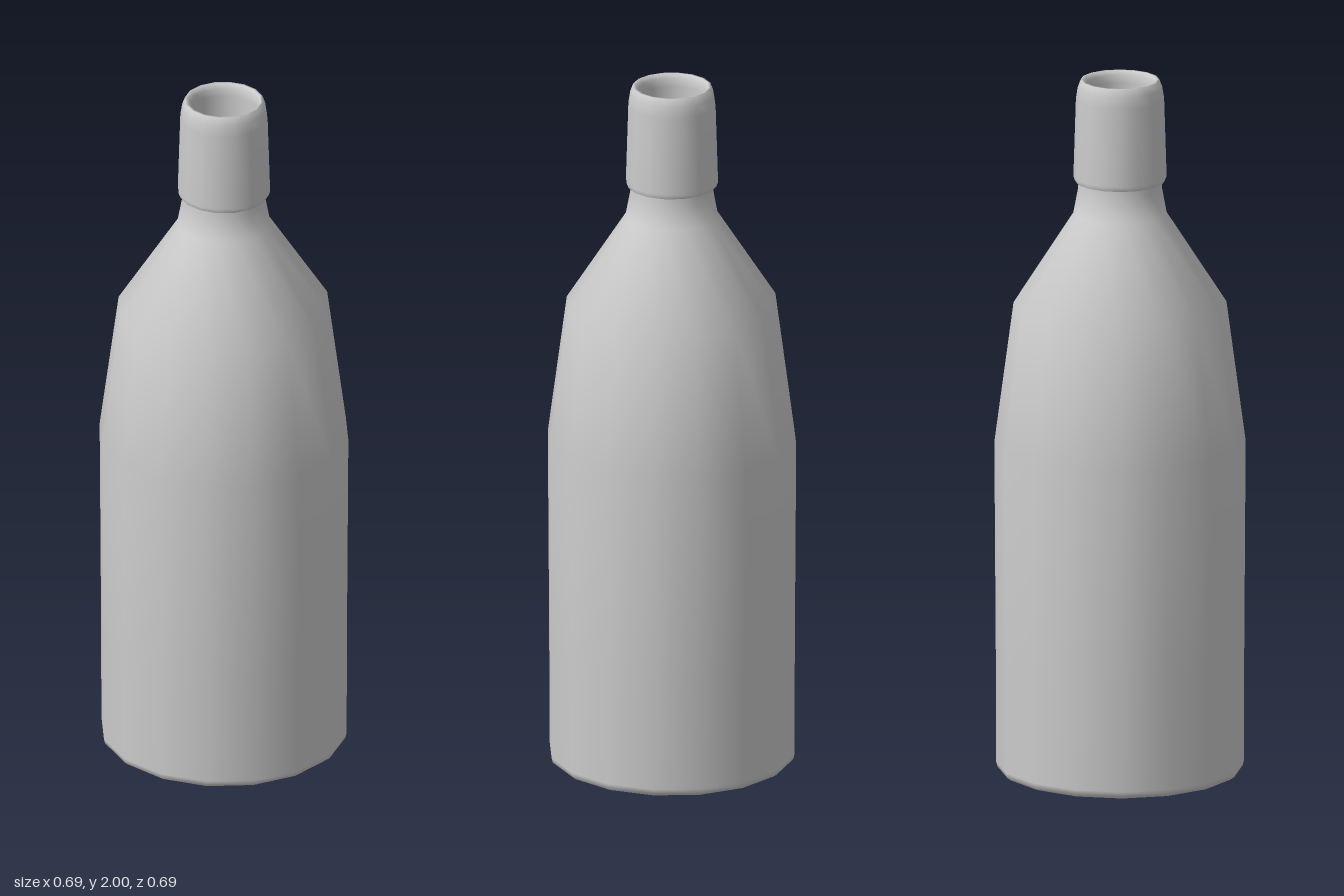
import * as THREE from 'three';

const SIDES = 16;

export function createModel() {
  const bottle = new THREE.Group();
  bottle.name = 'bottle';
  const material = new THREE.MeshStandardMaterial({ color: 0xcccccc });

  // Revolve a [radius, height] profile, with flat sides facing the four axes
  function turned(name, profile) {
    const points = profile.map(([r, y]) => new THREE.Vector2(r, y));
    const geometry = new THREE.LatheGeometry(points, SIDES, Math.PI / SIDES);
    const mesh = new THREE.Mesh(geometry, material);
    mesh.name = name;
    bottle.add(mesh);
  }

  // Flat underside
  turned('base', [[0, 0], [0.335, 0]]);

  // Body, shoulder and neck
  turned('body', [
    [0.335, 0], [0.345, 0.008], [0.348, 0.022], [0.349, 0.35],
    [0.353, 0.95], [0.299, 1.355], [0.131, 1.615], [0.118, 1.685], [0.116, 1.71],
  ]);

  // Collar with a rounded rim, running down into the mouth
  turned('collarUnderside', [[0.112, 1.712], [0.126, 1.706]]);
  turned('collar', [
    [0.126, 1.706], [0.131, 1.72], [0.124, 1.945], [0.119, 1.978], [0.111, 2],
    [0.104, 2], [0.096, 1.988], [0.093, 1.965], [0.092, 1.64],
  ]);

  // Floor inside the neck
  turned('mouthFloor', [[0.092, 1.64], [0, 1.64]]);

  return bottle;
}
